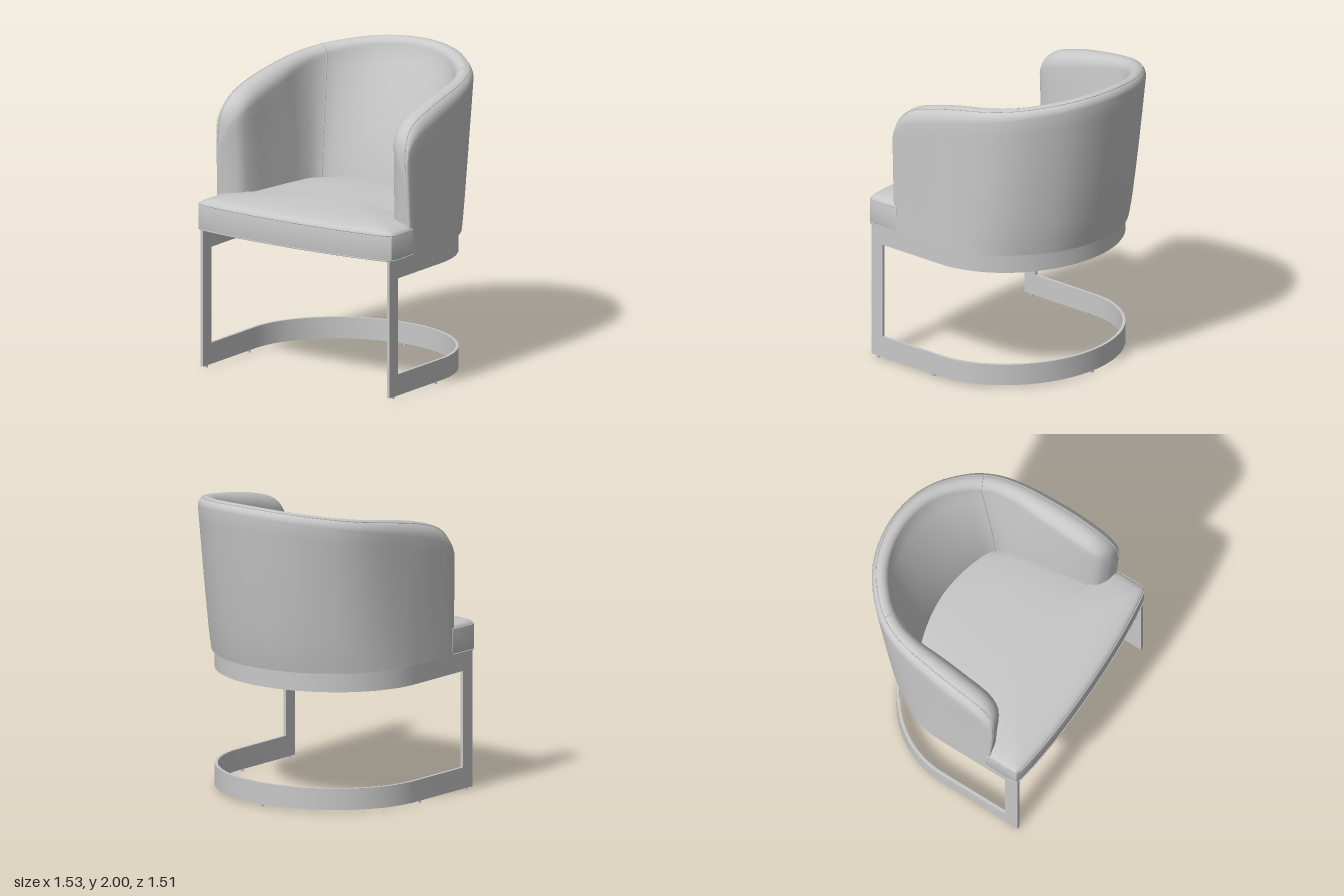
import * as THREE from 'three';
import { toCreasedNormals } from 'three/addons/utils/BufferGeometryUtils.js';

const V = (x, y, z) => new THREE.Vector3(x, y, z);

// Surface through rows of points; optionally closes both end rows.
function loft(rows, capEnds) {
  const n = rows[0].length, index = [], last = (rows.length - 1) * n;
  for (let i = 0; i < rows.length - 1; i++) {
    for (let j = 0; j < n - 1; j++) {
      const a = i * n + j, b = a + n;
      index.push(a, b, a + 1, b, b + 1, a + 1);
    }
  }
  if (capEnds) {
    for (let j = 0; j < Math.floor(n / 2); j++) {
      const a = j, b = j + 1, c = n - 1 - j, d = n - 2 - j;
      index.push(a, b, c, b, d, c);
      index.push(last + a, last + c, last + b, last + b, last + c, last + d);
    }
  }
  const geo = new THREE.BufferGeometry().setFromPoints(rows.flat());
  geo.setIndex(index);
  return toCreasedNormals(geo, 0.65);
}

// Half of the horseshoe shell, arm nose to back centre:
// outer top x,z | outer bottom x,z | inner top x,z | inner bottom x,z | height
const STATIONS = [
  [.735, .505, .750, .475, .715, .505, .715, .475, 1.45],
  [.745, .495, .755, .467, .650, .490, .645, .460, 1.62],
  [.748, .460, .757, .435, .600, .450, .590, .425, 1.70],
  [.750, .380, .757, .360, .575, .370, .560, .350, 1.77],
  [.747, .200, .752, .190, .565, .180, .530, .180, 1.83],
  [.730, .000, .735, .000, .560, .000, .505, .000, 1.87],
  [.700, -.200, .690, -.160, .560, -.170, .485, -.120, 1.90],
  [.650, -.360, .610, -.300, .530, -.320, .455, -.200, 1.925],
  [.550, -.510, .490, -.420, .450, -.450, .400, -.250, 1.95],
  [.310, -.690, .270, -.550, .250, -.600, .220, -.305, 1.985],
  [0, -.755, 0, -.595, 0, -.650, 0, -.330, 2.0],
];
const BASE = 0.915, WALL = 10, ROUND = 12;

function shellCurves() {
  const mirrored = STATIONS.slice(0, -1).reverse()
    .map(s => s.map((v, k) => (k < 8 && k % 2 === 0 ? -v : v)));
  const all = [...STATIONS, ...mirrored];
  return [0, 2, 4, 6].map(k =>
    new THREE.CatmullRomCurve3(all.map(s => V(s[k], s[8], s[k + 1]))));
}

// Cross-section: up the outer wall, over the rounded rim, down the inner wall.
function shellSection(curves, t) {
  const [oT, oB, iT, iB] = curves.map(c => c.getPoint(t));
  const rise = oT.distanceTo(iT) * 0.55;
  const top = oT.y - rise, pts = [];
  const wall = (low, high, s, power) => {
    const p = low.clone().lerp(high, Math.pow(s, power));
    p.y = BASE + (top - BASE) * s;
    return p;
  };
  for (let j = 0; j <= WALL; j++) pts.push(wall(oB, oT, j / WALL, 0.8));
  for (let j = 1; j < ROUND; j++) {
    const a = Math.PI * j / ROUND;
    const p = oT.clone().lerp(iT, (1 - Math.cos(a)) / 2);
    p.y = top + rise * Math.sin(a);
    pts.push(p);
  }
  for (let j = WALL; j >= 0; j--) pts.push(wall(iB, iT, j / WALL, 1.5));
  return pts;
}

// Half of the seat outline (x,z), front centre to back centre.
const SEAT = [[0, .755], [.2, .752], [.4, .742], [.6, .722], [.72, .703], [.75, .69], [.757, .67],
  [.757, .46], [.65, .40], [.62, .3], [.57, 0], [.52, -.2], [.4, -.33], [.2, -.42], [0, -.45]];
const SEAT_RINGS = [[0, .913], [.97, .913], [.995, .918], [1, .93], [1, 1.075], [.995, 1.09],
  [.98, 1.102], [.94, 1.113], [.85, 1.125], [.6, 1.137], [.3, 1.141], [0, 1.142]];

// Horseshoe band of the frame, seen in plan and extruded upwards.
function bandGeometry(y0, y1) {
  const side = (x, depth) => {
    const pts = [new THREE.Vector2(x, -0.69)];
    for (let i = 0; i <= 48; i++) {
      const a = Math.PI * i / 48;
      pts.push(new THREE.Vector2(x * Math.cos(a), -0.1 + depth * Math.sin(a)));
    }
    pts.push(new THREE.Vector2(-x, -0.69));
    return pts;
  };
  const shape = new THREE.Shape([...side(0.735, 0.655), ...side(0.715, 0.635).reverse()]);
  const geo = new THREE.ExtrudeGeometry(shape, { depth: y1 - y0, bevelEnabled: false });
  geo.rotateX(-Math.PI / 2).translate(0, y0, 0);
  return toCreasedNormals(geo, 0.5);
}

export function createModel() {
  const group = new THREE.Group();
  const grey = new THREE.MeshStandardMaterial({ color: 0xc8c8c8 });
  grey.name = 'light grey';
  const add = (name, geo, x = 0, y = 0, z = 0) => {
    const mesh = new THREE.Mesh(geo, grey);
    mesh.name = name;
    mesh.position.set(x, y, z);
    group.add(mesh);
  };
  const piping = (name, pts, closed = false) => add(name,
    new THREE.TubeGeometry(new THREE.CatmullRomCurve3(pts, closed, 'centripetal'), pts.length * 3, 0.004, 6, closed));

  // Wraparound back and arms
  const curves = shellCurves(), rows = [];
  for (let i = 0; i <= 100; i++) {
    const section = shellSection(curves, i / 100);
    rows.push([...section, section[0].clone()]);
  }
  add('backAndArms', loft(rows, true));

  // Upholstery seams: along the rim and down the two inner corners
  piping('rimSeam', rows.map(r => r[WALL + 4]));
  for (const t of [0.375, 0.625]) {
    piping('innerCornerSeam', shellSection(curves, t).slice(WALL + 4));
  }

  // Domed seat cushion
  const outline = [...SEAT, ...SEAT.slice(0, -1).reverse().map(([x, z]) => [-x, z])];
  add('seat', loft(outline.map(([x, z]) =>
    SEAT_RINGS.map(([s, y]) => V(x * s, y, 0.2 + (z - 0.2) * s))), false));
  const front = [...SEAT.slice(1, 8).reverse().map(([x, z]) => [-x, z]), ...SEAT.slice(0, 8)];
  for (const y of [0.92, 1.085]) piping('seatSeam', front.map(([x, z]) => V(x, y, z)));

  // Flat metal frame
  add('lowerBand', bandGeometry(0.015, 0.155));
  add('upperBand', bandGeometry(0.787, 0.912));
  for (const s of [1, -1]) {
    add('frontPost', new THREE.BoxGeometry(0.02, 0.632, 0.095), s * 0.725, 0.471, 0.6425);
  }

  // Small glides under the lower band
  const glide = new THREE.CylinderGeometry(0.01, 0.01, 0.016, 10);
  for (const [x, z] of [[.725, .64], [-.725, .64], [.725, .16], [-.725, .16], [0, -.545]]) {
    add('glide', glide, x, 0.008, z);
  }
  return group;
}
